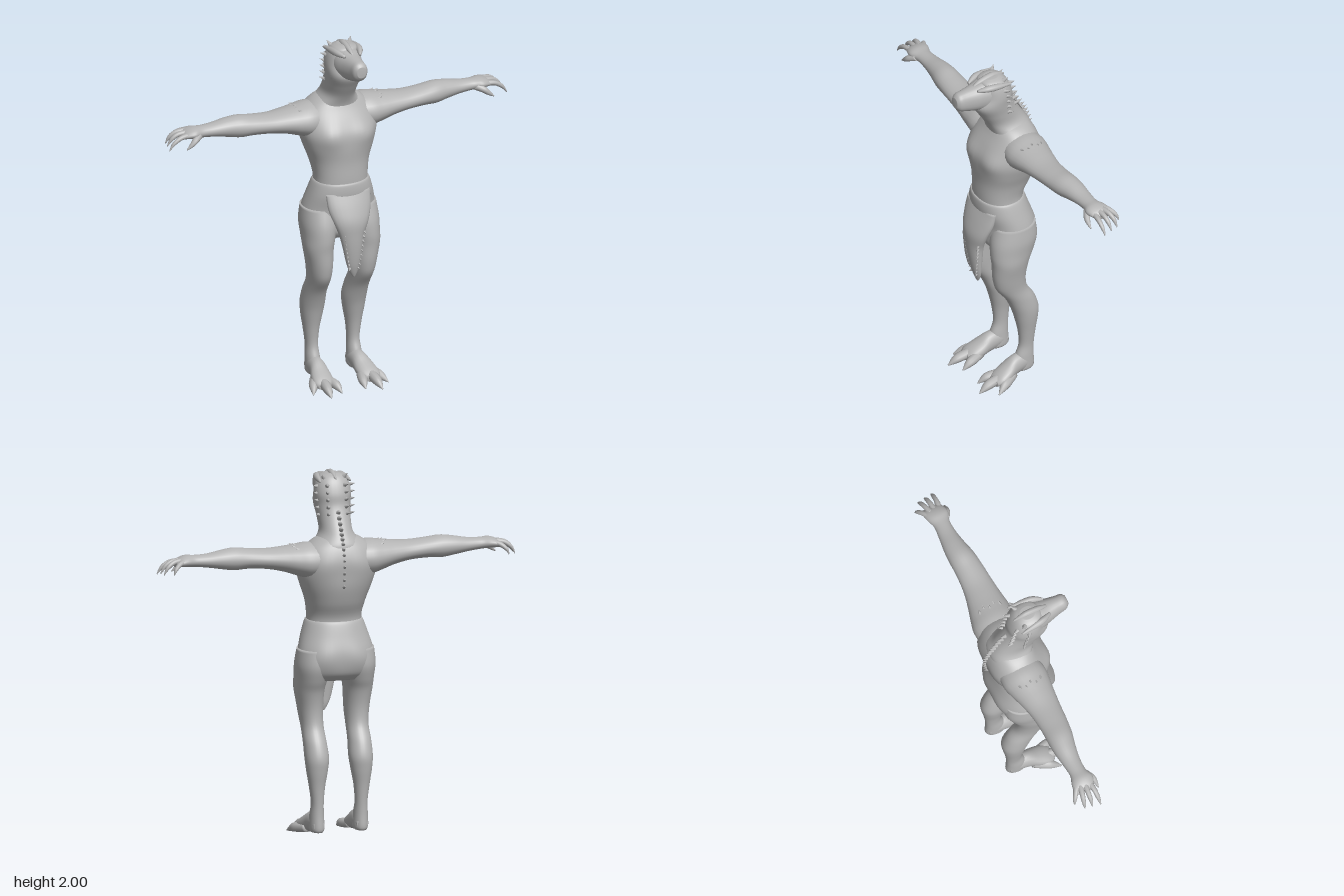
import * as THREE from 'three';

const skin = new THREE.MeshStandardMaterial({ color: 0xb4b4b4 });
skin.name = 'grey skin';

const X = new THREE.Vector3(1, 0, 0), Y = new THREE.Vector3(0, 1, 0), Z = new THREE.Vector3(0, 0, 1);
const V = (a) => new THREE.Vector3(...a);

// Smooth value between four neighbouring section numbers
const spline = (a, b, c, d, t) =>
  b + 0.5 * t * (c - a + t * (2 * a - 5 * b + 4 * c - d + t * (3 * (b - c) + d - a)));

// Skin over sections [x, y, z, radiusU, radiusV]; bumps [x, y, z, reach, amount] swell muscles
function loft(name, sections, U, W, { sides = 32, steps = 5, power = 0.9, bumps = [] } = {}) {
  const rows = [], last = sections.length - 1;
  const at = (i) => sections[Math.max(0, Math.min(last, i))];
  for (let i = 0; i < last; i++)
    for (let s = 0; s < steps; s++)
      rows.push(at(i).map((v, k) => spline(at(i - 1)[k], v, at(i + 1)[k], at(i + 2)[k], s / steps)));
  rows.push(at(last));
  const pos = [], index = [];
  const soft = (v) => Math.sign(v) * Math.abs(v) ** power;
  for (const r of rows) {
    const c = V(r.slice(0, 3));
    for (let j = 0; j < sides; j++) {
      const a = (j / sides) * Math.PI * 2;
      const out = U.clone().multiplyScalar(Math.max(r[3], 0.001) * soft(Math.cos(a)))
        .addScaledVector(W, Math.max(r[4], 0.001) * soft(Math.sin(a)));
      const p = c.clone().add(out), dir = out.normalize();
      const swell = bumps.reduce((sum, b) =>
        sum + b[4] * Math.exp(-p.distanceToSquared(V(b)) / (b[3] * b[3])), 0);
      p.addScaledVector(dir, swell);
      pos.push(p.x, p.y, p.z);
    }
  }
  const first = V(at(0).slice(0, 3)), end = V(at(last).slice(0, 3));
  const flip = new THREE.Vector3().crossVectors(U, W).dot(end.clone().sub(first)) < 0;
  const tri = (a, b, c) => (flip ? index.push(a, c, b) : index.push(a, b, c));
  for (let i = 0; i < rows.length - 1; i++)
    for (let j = 0; j < sides; j++) {
      const k = (j + 1) % sides, a = i * sides, b = a + sides;
      tri(a + j, a + k, b + j);
      tri(a + k, b + k, b + j);
    }
  const n = rows.length * sides, top = n - sides;
  pos.push(...first.toArray(), ...end.toArray());
  for (let j = 0; j < sides; j++) {
    const k = (j + 1) % sides;
    tri(n, k, j);
    tri(n + 1, top + j, top + k);
  }
  const geo = new THREE.BufferGeometry();
  geo.setAttribute('position', new THREE.Float32BufferAttribute(pos, 3));
  geo.setIndex(index);
  geo.computeVertexNormals();
  const mesh = new THREE.Mesh(geo, skin);
  mesh.name = name;
  return mesh;
}

// Tapered digit through points [x, y, z, radius]
function digit(name, points) {
  const d = V(points[points.length - 1]).sub(V(points[0])).normalize();
  const U = new THREE.Vector3().crossVectors(Y, d).normalize();
  const W = new THREE.Vector3().crossVectors(d, U);
  return loft(name, points.map((p) => [...p, p[3]]), U, W, { sides: 10, steps: 4, power: 1 });
}

// Small horn from a base point along a direction
function spike(name, base, dir, length, radius) {
  const mesh = new THREE.Mesh(new THREE.ConeGeometry(radius, length, 7), skin);
  const d = V(dir).normalize();
  mesh.quaternion.setFromUnitVectors(Y, d);
  mesh.position.copy(V(base)).addScaledVector(d, length * 0.3);
  mesh.name = name;
  return mesh;
}

function createArm(s) {
  const g = new THREE.Group();
  g.name = s > 0 ? 'leftArm' : 'rightArm';
  const sections = [
    [0.08, 1.535, -0.1, 0.11, 0.09], [0.17, 1.535, -0.095, 0.125, 0.097], [0.24, 1.54, -0.09, 0.115, 0.083],
    [0.31, 1.547, -0.085, 0.1, 0.067], [0.4, 1.553, -0.08, 0.085, 0.055], [0.5, 1.56, -0.08, 0.077, 0.055],
    [0.58, 1.563, -0.085, 0.072, 0.061], [0.65, 1.565, -0.092, 0.062, 0.052], [0.73, 1.565, -0.094, 0.05, 0.038],
    [0.8, 1.567, -0.092, 0.046, 0.032], [0.85, 1.57, -0.092, 0.062, 0.031], [0.89, 1.566, -0.1, 0.06, 0.024],
    [0.915, 1.557, -0.1, 0.045, 0.014],
  ].map(([x, ...r]) => [s * x, ...r]);
  g.add(loft('armAndPalm', sections, Z, Y, { sides: 24, power: 1 }));
  // Fingers arch downwards, the thumb hangs in front
  const fingers = [
    [[0.86, 1.575, -0.13, 0.017], [0.9, 1.565, -0.155, 0.014], [0.93, 1.54, -0.176, 0.01], [0.94, 1.515, -0.182, 0.003]],
    [[0.87, 1.577, -0.115, 0.018], [0.925, 1.572, -0.128, 0.014], [0.965, 1.545, -0.138, 0.011], [0.985, 1.51, -0.142, 0.003]],
    [[0.87, 1.575, -0.09, 0.018], [0.93, 1.57, -0.095, 0.014], [0.97, 1.545, -0.098, 0.011], [0.993, 1.51, -0.1, 0.003]],
    [[0.87, 1.567, -0.065, 0.018], [0.93, 1.562, -0.057, 0.014], [0.975, 1.535, -0.055, 0.011], [1.0, 1.5, -0.054, 0.003]],
    [[0.82, 1.562, -0.06, 0.022], [0.855, 1.545, -0.033, 0.018], [0.88, 1.525, -0.024, 0.013], [0.91, 1.502, -0.022, 0.003]],
  ];
  fingers.forEach((f, i) => g.add(digit(i < 4 ? 'finger' : 'thumb', f.map(([x, ...r]) => [s * x, ...r]))));
  // Ragged scales over the shoulder
  for (let i = 0; i < 5; i++)
    g.add(spike('shoulderScale', [s * (0.235 + 0.012 * (i % 2)), 1.618 - Math.abs(i - 2) * 0.006, -0.15 + i * 0.03],
      [s * 0.8, 0.6, 0], 0.026, 0.011));
  return g;
}

function createLeg(s) {
  const g = new THREE.Group();
  g.name = s > 0 ? 'leftLeg' : 'rightLeg';
  const sections = [
    [0.11, 1.04, -0.06, 0.1, 0.12], [0.122, 0.95, -0.05, 0.098, 0.137], [0.13, 0.87, -0.035, 0.085, 0.128],
    [0.134, 0.8, -0.023, 0.076, 0.11], [0.13, 0.7, -0.018, 0.067, 0.097], [0.126, 0.61, -0.042, 0.06, 0.083],
    [0.125, 0.53, -0.09, 0.062, 0.082], [0.123, 0.45, -0.121, 0.065, 0.078], [0.124, 0.38, -0.13, 0.058, 0.066],
    [0.125, 0.29, -0.133, 0.043, 0.05], [0.123, 0.2, -0.132, 0.034, 0.043], [0.123, 0.13, -0.12, 0.038, 0.054],
    [0.122, 0.06, -0.115, 0.04, 0.063], [0.122, 0.04, -0.115, 0.032, 0.055],
  ].map(([x, ...r]) => [s * x, ...r]);
  g.add(loft('legAndHeel', sections, X, Z, {
    power: 0.95, bumps: [[s * 0.13, 0.63, 0.06, 0.05, 0.01], [s * 0.2, 0.82, 0.02, 0.07, 0.007]],
  }));
  // Foot slopes forwards from the ankle into three splayed clawed toes
  const foot = [
    [0.122, 0.075, -0.165, 0.03, 0.03], [0.122, 0.09, -0.12, 0.04, 0.052], [0.125, 0.083, -0.05, 0.046, 0.058],
    [0.132, 0.06, 0.01, 0.058, 0.046], [0.138, 0.045, 0.06, 0.058, 0.033], [0.14, 0.035, 0.09, 0.04, 0.022],
  ].map(([x, ...r]) => [s * x, ...r]);
  g.add(loft('foot', foot, X, Y, { sides: 20, power: 1 }));
  const toes = [
    [[0.105, 0.045, 0.01, 0.026], [0.086, 0.037, 0.07, 0.027], [0.076, 0.028, 0.11, 0.021], [0.07, 0.006, 0.148, 0.003]],
    [[0.138, 0.05, 0.03, 0.026], [0.144, 0.04, 0.1, 0.028], [0.148, 0.028, 0.148, 0.022], [0.152, 0.006, 0.19, 0.003]],
    [[0.15, 0.045, -0.03, 0.026], [0.185, 0.037, 0.035, 0.028], [0.203, 0.027, 0.07, 0.021], [0.222, 0.006, 0.11, 0.003]],
  ];
  toes.forEach((t) => g.add(digit('toe', t.map(([x, ...r]) => [s * x, ...r]))));
  return g;
}

function createHead() {
  const g = new THREE.Group();
  g.name = 'head';
  g.add(loft('neckAndSkull', [
    [0, 1.56, -0.1, 0.17, 0.115], [0, 1.62, -0.097, 0.135, 0.118], [0, 1.68, -0.068, 0.09, 0.115],
    [0, 1.75, -0.025, 0.088, 0.115], [0, 1.82, 0.01, 0.097, 0.118], [0, 1.88, 0.0, 0.1, 0.1],
    [0, 1.935, 0.005, 0.09, 0.085], [0, 1.97, 0.015, 0.068, 0.07], [0, 1.985, 0.015, 0.035, 0.04],
  ], X, Z));
  g.add(loft('snout', [
    [0, 1.89, -0.03, 0.085, 0.08], [0, 1.888, 0.06, 0.08, 0.086], [0, 1.884, 0.13, 0.062, 0.074],
    [0, 1.888, 0.19, 0.048, 0.063], [0, 1.893, 0.23, 0.042, 0.052], [0, 1.895, 0.25, 0.026, 0.03],
  ], X, Y, { sides: 24 }));
  for (const s of [1, -1]) {
    g.add(digit('browRidge', [[s * 0.045, 1.95, 0.13, 0.008], [s * 0.065, 1.957, 0.08, 0.018],
      [s * 0.075, 1.955, 0.02, 0.018], [s * 0.085, 1.95, -0.06, 0.005]]));
    // Rows of horns round the cheeks and the back of the head
    for (let i = 0; i < 5; i++) {
      const y = 1.92 - i * 0.038;
      g.add(spike('cheekHorn', [s * (0.092 - i * 0.002), y, -0.02 - i * 0.006], [s, 0.3, -0.7], 0.042, 0.014));
      g.add(spike('napeHorn', [s * 0.05, y + 0.01, -0.075 - i * 0.008], [s * 0.4, 0.3, -1], 0.04, 0.014));
    }
    g.add(spike('crownHorn', [s * 0.055, 1.965, -0.03], [s * 0.5, 0.7, -0.6], 0.045, 0.018));
  }
  g.add(digit('crownCrest', [[0, 1.955, 0.13, 0.006], [0, 1.972, 0.08, 0.016], [0, 1.982, 0, 0.017], [0, 1.965, -0.07, 0.004]]));
  return g;
}

export function createModel() {
  const model = new THREE.Group();
  model.name = 'lizardFigure';

  // Torso with chest and shoulder blade swellings
  const bumps = [];
  for (const s of [1, -1]) bumps.push([s * 0.09, 1.47, 0.08, 0.07, 0.022], [s * 0.1, 1.5, -0.22, 0.08, 0.014]);
  model.add(loft('torso', [
    [0, 1.08, -0.04, 0.165, 0.13], [0, 1.2, -0.028, 0.149, 0.125], [0, 1.3, -0.05, 0.164, 0.146],
    [0, 1.39, -0.062, 0.195, 0.162], [0, 1.47, -0.07, 0.218, 0.16], [0, 1.54, -0.085, 0.215, 0.148],
    [0, 1.6, -0.095, 0.185, 0.125], [0, 1.645, -0.095, 0.13, 0.1], [0, 1.67, -0.095, 0.07, 0.07],
  ], X, Z, { sides: 48, bumps }));

  // Hip wrap with a raised waist edge
  const seat = [1, -1].map((s) => [s * 0.09, 0.99, -0.2, 0.07, 0.012]);
  model.add(loft('hipWrap', [
    [0, 1.195, -0.028, 0.146, 0.12], [0, 1.185, -0.028, 0.158, 0.133], [0, 1.12, -0.038, 0.181, 0.144],
    [0, 1.04, -0.058, 0.204, 0.144], [0, 0.97, -0.06, 0.216, 0.142], [0, 0.91, -0.055, 0.214, 0.132],
    [0, 0.87, -0.05, 0.196, 0.1],
  ], X, Z, { sides: 48, bumps: seat }));

  // Pointed front flap with ragged edge scales
  model.add(loft('frontFlap', [
    [0, 1.14, 0.07, 0.13, 0.03], [0, 1.06, 0.09, 0.125, 0.045], [0, 0.98, 0.115, 0.1, 0.045],
    [0, 0.9, 0.12, 0.07, 0.04], [0.005, 0.82, 0.12, 0.054, 0.034], [0.01, 0.74, 0.117, 0.04, 0.025],
    [0.014, 0.69, 0.112, 0.025, 0.017], [0.017, 0.655, 0.11, 0.006, 0.006],
  ], X, Z, { sides: 24, power: 1 }));
  for (const s of [1, -1])
    for (let i = 0; i < 9; i++)
      model.add(spike('flapScale', [0.008 + s * (0.055 - i * 0.004), 0.92 - i * 0.026, 0.138 - i * 0.0015],
        [s * 0.5, -0.5, 0.8], 0.024, 0.011));

  // Ridge of small spines from nape to mid back
  const ridge = new THREE.CatmullRomCurve3([[0, 1.79, -0.125], [0, 1.7, -0.18], [0, 1.62, -0.215],
    [0, 1.52, -0.232], [0, 1.4, -0.222]].map(V));
  for (let i = 0; i <= 13; i++)
    model.add(spike('backSpine', ridge.getPoint(i / 13).toArray(), [0, 0.25, -1], 0.036, 0.014));

  model.add(createHead());
  for (const s of [1, -1]) model.add(createArm(s), createLeg(s));
  return model;
}
